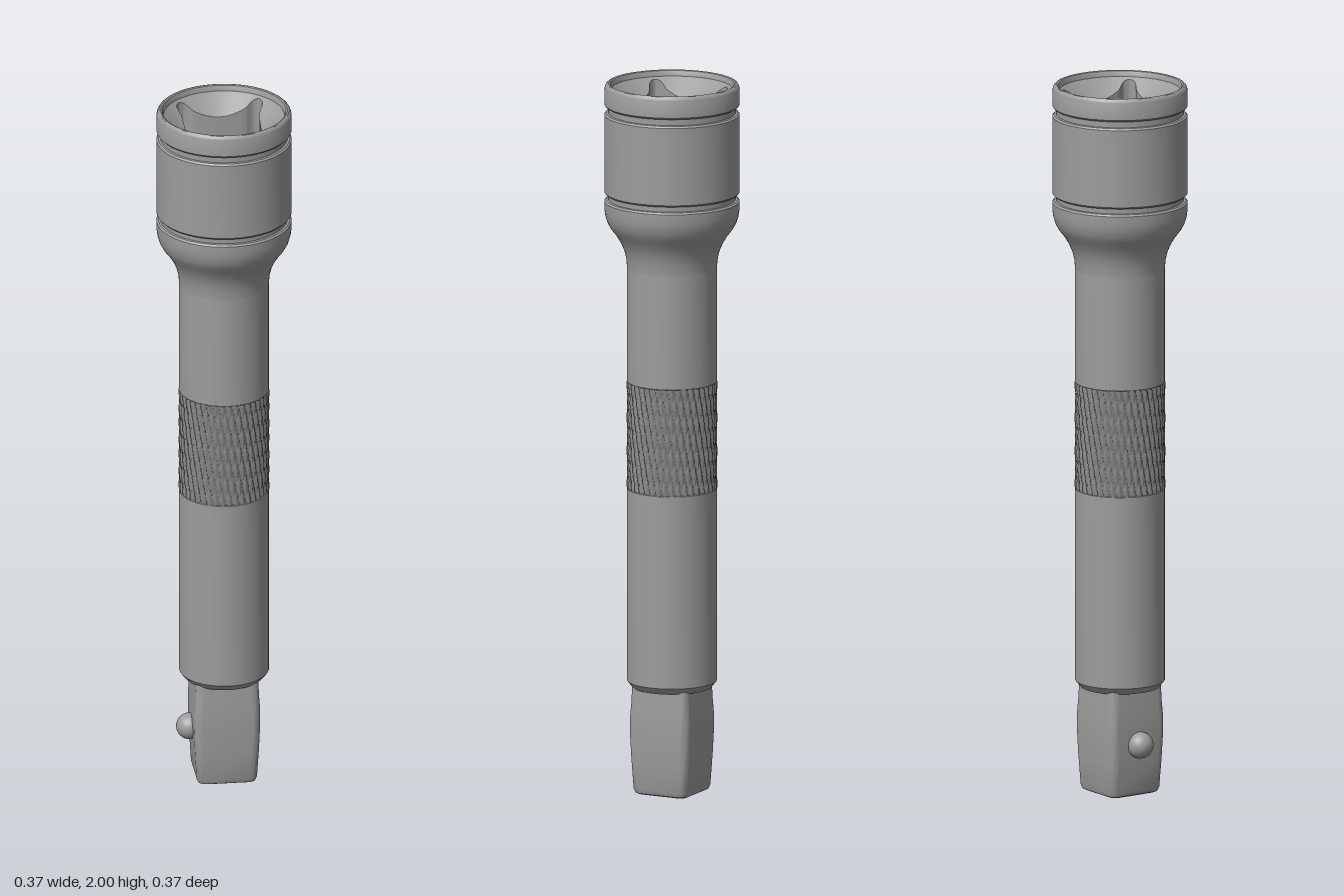
import * as THREE from 'three';
import { toCreasedNormals, mergeVertices } from 'three/addons/utils/BufferGeometryUtils.js';

const steel = new THREE.MeshStandardMaterial({ color: 0x9c9c9c });
const darkSteel = new THREE.MeshStandardMaterial({ color: 0x868686 });

function part(name, geometry, material = steel) {
  const mesh = new THREE.Mesh(geometry, material);
  mesh.name = name;
  return mesh;
}

// Surface of revolution from [radius, y] pairs, bottom to top
function turned(profile) {
  const points = profile.map(([r, y]) => new THREE.Vector2(r, y));
  return toCreasedNormals(new THREE.LatheGeometry(points, 64), 0.45);
}

// Skin over closed rings of [x, y, z] points with equal counts
function loft(rings, crease) {
  const n = rings[0].length;
  const index = [];
  for (let j = 0; j < rings.length - 1; j++) {
    for (let i = 0; i < n; i++) {
      const a = j * n + i, b = j * n + (i + 1) % n;
      index.push(a, a + n, b, b, a + n, b + n);
    }
  }
  const geometry = new THREE.BufferGeometry();
  geometry.setAttribute('position', new THREE.Float32BufferAttribute(rings.flat(2), 3));
  geometry.setIndex(index);
  return toCreasedNormals(geometry, crease);
}

// Square drive end with rounded corners and a slight bulge
function driveGeometry() {
  const outline = [];
  for (let q = 0; q < 4; q++) {
    const mid = Math.PI / 4 + q * Math.PI / 2;
    for (let k = 0; k <= 6; k++) {
      const a = q * Math.PI / 2 + (k / 6) * Math.PI / 2;
      outline.push([
        Math.sign(Math.cos(mid)) * 0.74 + 0.26 * Math.cos(a),
        Math.sign(Math.sin(mid)) * 0.74 + 0.26 * Math.sin(a),
      ]);
    }
  }
  const sections = [[0, 0], [0.072, 0], [0.08, 0.004], [0.084, 0.015], [0.089, 0.1],
    [0.092, 0.17], [0.092, 0.215], [0.089, 0.26], [0.087, 0.31]];
  return loft(sections.map(([s, y]) => outline.map(([x, z]) => [x * s, y, z * s])), 0.5);
}

// Square recess with relieved corners, opening through a conical lead-in
function socketGeometry() {
  const half = [[0.104, 0], [0.1055, 0.05], [0.109, 0.076], [0.116, 0.088], [0.119, 0.1]];
  const side = [
    ...half.slice(1).reverse().map(([x, z]) => [x, -z]),
    ...half,
    [0.113, 0.113],
  ];
  const control = [];
  for (let q = 0; q < 4; q++) {
    const c = Math.round(Math.cos(q * Math.PI / 2)), s = Math.round(Math.sin(q * Math.PI / 2));
    for (const [x, z] of side) control.push(new THREE.Vector3(x * c - z * s, 0, x * s + z * c));
  }
  const outline = new THREE.CatmullRomCurve3(control, true).getPoints(120).slice(0, -1);
  const rim = 0.167, rimY = 1.983;
  const edgeY = (p) => rimY - (rim - p.length()) * 0.8;
  const floorY = 1.66;
  return loft([
    outline.map((p) => [p.x * rim / p.length(), rimY, p.z * rim / p.length()]),
    outline.map((p) => [p.x, edgeY(p), p.z]),
    outline.map((p) => [p.x, floorY, p.z]),
    outline.map(() => [0, floorY, 0]),
  ], 0.6);
}

// Grip band cut by two crossing families of helical grooves, one deeper
function knurlGeometry(y0, y1) {
  const height = y1 - y0, starts = 40, twist = 0.5;
  let geometry = new THREE.CylinderGeometry(1, 1, height, 320, 72, true);
  geometry.deleteAttribute('uv');
  geometry.deleteAttribute('normal');
  geometry = mergeVertices(geometry);
  const pos = geometry.attributes.position;
  for (let i = 0; i < pos.count; i++) {
    const x = pos.getX(i), z = pos.getZ(i), y = pos.getY(i);
    const a = Math.atan2(x, z), t = twist * y / height;
    const cut = (angle) => Math.pow(0.5 + 0.5 * Math.cos(starts * angle), 2);
    const r = 0.125 - Math.max(0.007 * cut(a + t), 0.0025 * cut(a - t));
    pos.setXYZ(i, Math.sin(a) * r, y + (y0 + y1) / 2, Math.cos(a) * r);
  }
  geometry.computeVertexNormals();
  return geometry;
}

export function createModel() {
  const group = new THREE.Group();
  group.name = 'socketExtensionBar';

  group.add(part('squareDrive', driveGeometry()));

  // Spring detent ball on one face of the drive
  const ball = part('detentBall', new THREE.SphereGeometry(0.037, 28, 18));
  ball.position.set(-0.096, 0.147, 0);
  group.add(ball);

  // Shaft, with a shallow seat beneath the knurled band
  group.add(part('shaft', turned([
    [0, 0.297], [0.108, 0.297], [0.112, 0.301], [0.124, 0.316],
    [0.124, 0.858], [0.117, 0.86], [0.117, 1.158], [0.124, 1.16], [0.124, 1.48],
  ])));
  group.add(part('knurledGrip', knurlGeometry(0.859, 1.159), darkSteel));

  // Flared neck, grooved head and rounded rim
  group.add(part('socketHead', turned([
    [0.124, 1.48], [0.126, 1.505], [0.132, 1.53], [0.142, 1.553], [0.155, 1.574],
    [0.169, 1.592], [0.178, 1.608], [0.184, 1.628], [0.1865, 1.645], [0.1865, 1.668],
    [0.182, 1.673], [0.176, 1.674], [0.176, 1.688], [0.182, 1.689], [0.1865, 1.694],
    [0.1865, 1.912], [0.182, 1.917], [0.176, 1.918], [0.176, 1.935], [0.182, 1.936],
    [0.1865, 1.941], [0.1865, 1.982], [0.1855, 1.989], [0.183, 1.995], [0.179, 1.999],
    [0.175, 2], [0.171, 1.998], [0.1685, 1.992], [0.167, 1.983],
  ])));
  group.add(part('squareSocket', socketGeometry()));

  return group;
}
